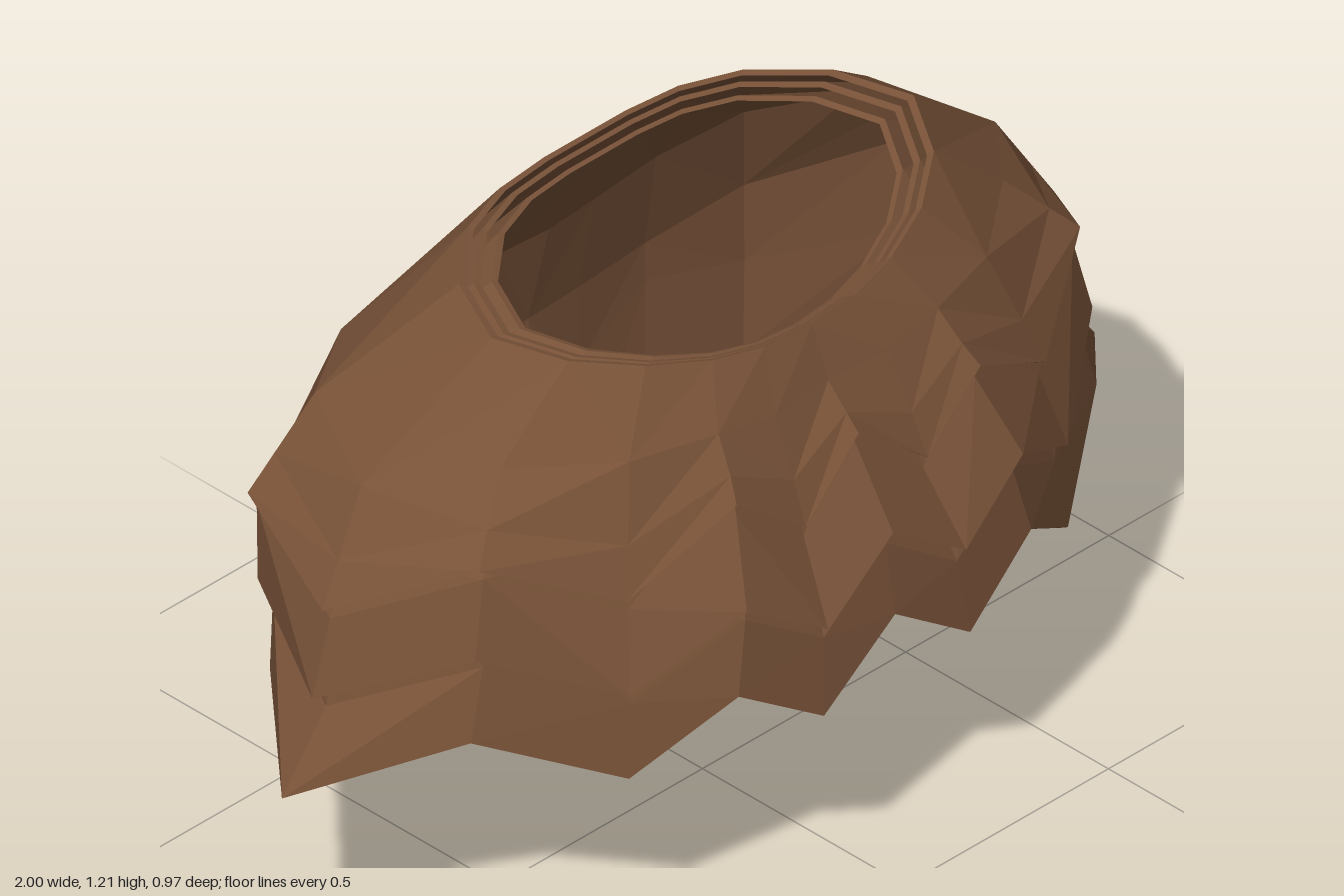
import * as THREE from 'three';

// Each row runs over the left half, from front centre round the shoulder to back centre.
const neck = [[0, 1.08, .27], [.11, 1.085, .265], [.22, 1.1, .245], [.34, 1.125, .2], [.45, 1.15, .12], [.52, 1.175, 0],
  [.46, 1.19, -.14], [.34, 1.2, -.24], [.22, 1.205, -.28], [.1, 1.207, -.29], [0, 1.207, -.29]];
const shoulder = [[0, .98, .31], [.14, .98, .32], [.27, 1, .31], [.44, 1, .26], [.62, 1.005, .12], [.78, .96, -.06],
  [.68, 1, -.275], [.5, .99, -.39], [.3, .97, -.425], [.13, .96, -.42], [0, .96, -.41]];
const chest = [[0, .935, .355], [.145, .87, .37], [.285, .94, .355], [.485, .865, .302], [.692, .93, .162], [.852, .843, -.045],
  [.764, .907, -.29], [.56, .78, -.45], [.33, .745, -.485], [.14, .745, -.471], [0, .745, -.465]];
const hems = [
  [[0, .905, .385], [.15, .79, .405], [.3, .9, .385], [.515, .775, .33], [.74, .88, .19], [.9, .765, -.035],
    [.82, .845, -.3], [.56, .64, -.45], [.33, .69, -.48], [.14, .59, -.472], [0, .655, -.455]],
  [[0, .735, .47], [.17, .62, .48], [.34, .725, .45], [.54, .6, .36], [.76, .705, .2], [.925, .59, -.035],
    [.8, .655, -.295], [.54, .46, -.435], [.31, .485, -.46], [.13, .31, -.455], [0, .37, -.42]],
  [[0, .565, .475], [.18, .44, .48], [.36, .555, .45], [.54, .425, .36], [.77, .535, .2], [1, .415, -.035],
    [.78, .46, -.285], [.51, .22, -.415], [.28, .215, -.405], [.12, 0, -.39], [0, .085, -.365]],
];
const tiers = [
  { name: 'upperTier', neckScale: .94, bodyScale: .97, hemScale: .98, drop: .025 },
  { name: 'middleTier', neckScale: .92, bodyScale: .965, hemScale: .965, drop: .03 },
  { name: 'lowerTier', neckScale: 1, bodyScale: 1, hemScale: 1, drop: 0 },
];

// Shrinks a row toward the vertical axis and lowers it.
const shrink = (row, s, drop = 0) => row.map(([x, y, z]) => [x * s, y - drop, z * s]);

// Distance of the midpoint of two corners from the axis, to choose the outward diagonal.
const reach = (p, q) => Math.hypot((p[0] + q[0]) * .5, p[2] + q[2]);

// Closed thin shell: outer wall down, inner wall back up, mirrored across x.
function shell(rows) {
  const inner = rows.map((row, r) => shrink(row, r ? .985 : .97, r ? 0 : .004));
  const loop = [...rows, ...inner.reverse()];
  const rings = loop.map(row => [...row, ...row.slice(1, -1).reverse().map(([x, y, z]) => [-x, y, z])]);
  const n = rings[0].length, positions = [];
  rings.forEach((ring, r) => {
    const next = rings[(r + 1) % rings.length];
    for (let j = 0; j < n; j++) {
      const k = (j + 1) % n;
      const a = ring[j], b = next[j], c = next[k], d = ring[k];
      const corners = reach(a, c) > reach(b, d) ? [a, b, c, a, c, d] : [a, b, d, b, c, d];
      positions.push(...corners.flat());
    }
  });
  const geometry = new THREE.BufferGeometry();
  geometry.setAttribute('position', new THREE.Float32BufferAttribute(positions, 3));
  geometry.computeVertexNormals();
  return geometry;
}

export function createModel() {
  const group = new THREE.Group();
  group.name = 'tieredCape';
  const leather = new THREE.MeshStandardMaterial({ color: 0x785238, flatShading: true, side: THREE.DoubleSide });
  leather.name = 'brown leather';

  // Nested tiers: each continues below the hem of the one above it.
  let upperRows = [neck, shoulder, chest];
  tiers.forEach(({ name, neckScale, bodyScale, hemScale, drop }, i) => {
    const tier = new THREE.Mesh(shell([...upperRows, hems[i]]), leather);
    tier.name = name;
    group.add(tier);
    upperRows = upperRows.map((row, r) => shrink(row, r ? bodyScale : neckScale, r ? 0 : .008));
    upperRows.push(shrink(hems[i], hemScale, drop));
  });
  return group;
}
